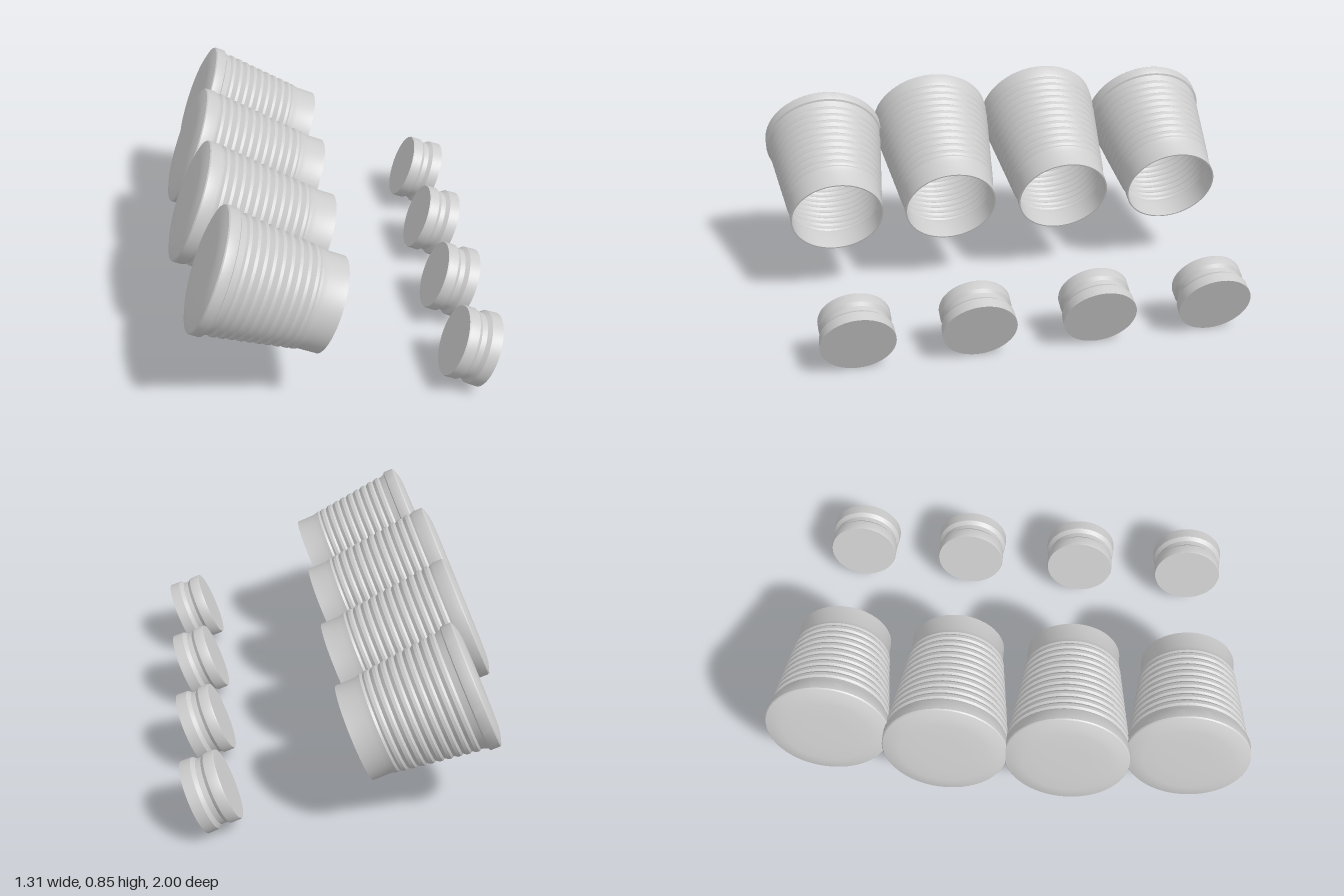
import * as THREE from 'three';
import { toCreasedNormals } from 'three/addons/utils/BufferGeometryUtils.js';

const TILT = THREE.MathUtils.degToRad(68); // lathe axis leans back toward -x
const WALL = 0.006;
const PITCH = 0.036;

function lathe(points) {
  const profile = points.map(([r, t]) => new THREE.Vector2(Math.max(r, 0), t));
  return toCreasedNormals(new THREE.LatheGeometry(profile, 64), 0.5);
}

// Tapered, ribbed hollow cup: t runs from the mouth (0) to the closed end
function cupGeometry(rim) {
  const side = [[0.198, 0], [0.1985, 0.08], [0.206, 0.105]];
  const base = (t) => 0.2015 + 0.125 * (t - 0.09);
  for (let t = 0.115; t + PITCH < rim; t += PITCH) {
    side.push(
      [base(t) - 0.002, t],
      [base(t) + 0.004, t + 0.009],
      [base(t) + 0.005, t + 0.022],
      [base(t) - 0.001, t + 0.031],
    );
  }
  side.push([base(rim), rim - 0.004]);

  // inner wall down to the mouth, then outer wall up to the closed end
  const inner = side.map(([r, t]) => [r - WALL, t]).reverse();
  const end = [
    [0.256, rim], [0.258, rim + 0.004], [0.258, rim + 0.042],
    [0.254, rim + 0.047], [0.240, rim + 0.052], [0.212, rim + 0.060],
    [0.182, rim + 0.064], [0.10, rim + 0.066], [0, rim + 0.066],
  ];
  const floor = [[0, rim + 0.056], [0.18, rim + 0.054], [0.235, rim + 0.042], [0.248, rim + 0.02]];
  return lathe([...floor, ...inner, ...side, ...end]);
}

// Solid plug with a groove around its side
function plugGeometry() {
  return lathe([
    [0, 0], [0.153, 0], [0.151, 0.046], [0.138, 0.062], [0.137, 0.084],
    [0.147, 0.098], [0.147, 0.136], [0.144, 0.143], [0, 0.143],
  ]);
}

export function createModel() {
  const model = new THREE.Group();
  const grey = new THREE.MeshStandardMaterial({ color: 0xcccccc });
  grey.name = 'plain grey';

  const shortCup = cupGeometry(0.464);
  const longCup = cupGeometry(0.524);
  const plug = plugGeometry();

  const add = (name, geometry, x, y, z) => {
    const mesh = new THREE.Mesh(geometry, grey);
    mesh.name = name;
    mesh.position.set(x, y, z);
    mesh.rotation.z = TILT;
    model.add(mesh);
  };

  // Row of four: long pair in the middle, short pair outside
  [-0.742, -0.25, 0.25, 0.742].forEach((z, i) => {
    const isLong = Math.abs(z) < 0.5;
    add(`${isLong ? 'long' : 'short'}Cup${i + 1}`, isLong ? longCup : shortCup, -0.0335, 0.4, z);
    add(`plug${i + 1}`, plug, 0.598, 0.143, z);
  });
  return model;
}
